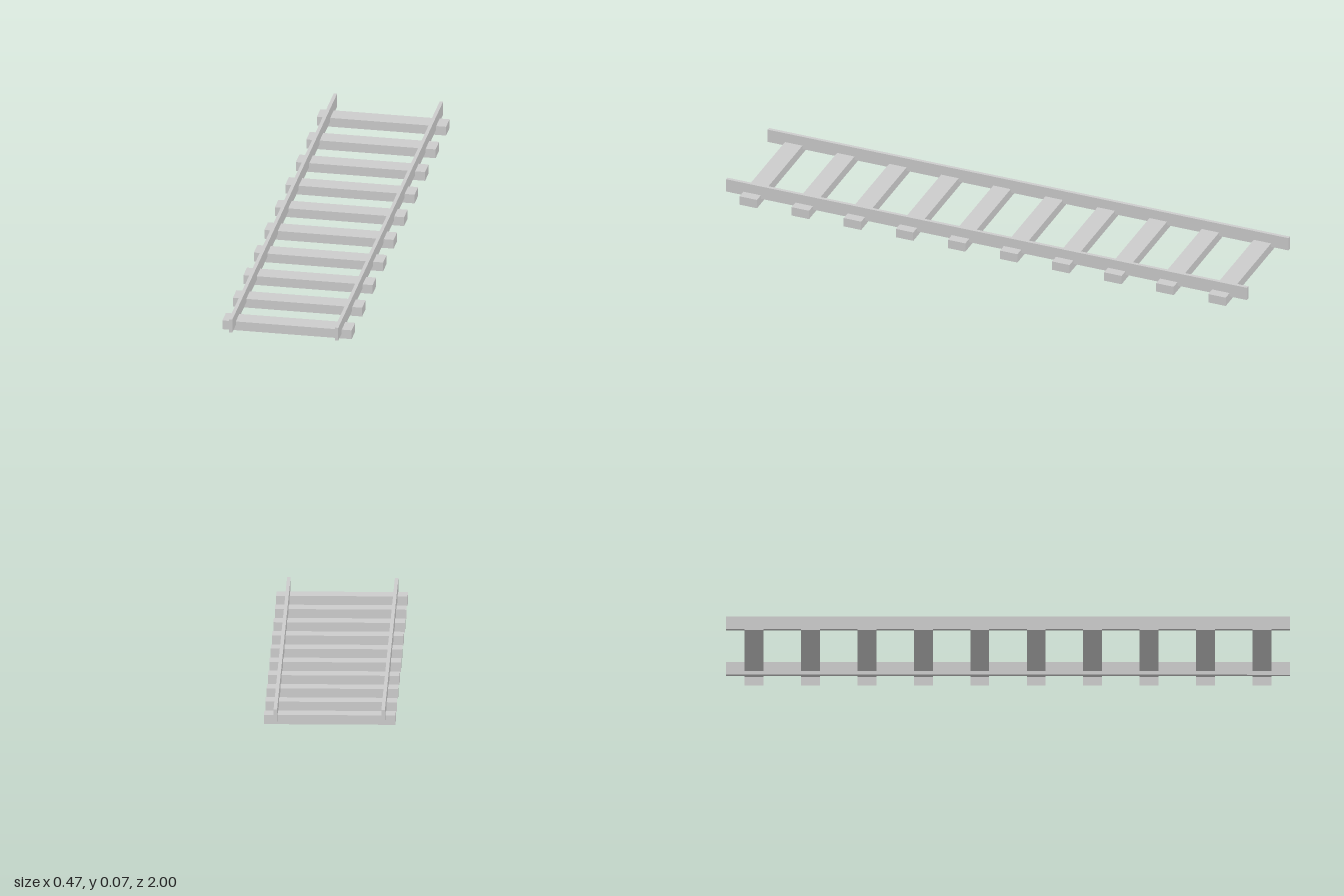
import * as THREE from 'three';

const material = new THREE.MeshStandardMaterial({ color: 0xcccccc, side: THREE.DoubleSide });

// Hollow sleeper: a box without its underside
function sleeperGeometry(width, height, depth) {
  const geometry = new THREE.BoxGeometry(width, height, depth);
  const index = Array.from(geometry.index.array);
  index.splice(18, 6); // drop the -y face
  geometry.setIndex(index);
  geometry.clearGroups();
  return geometry;
}

export function createModel() {
  const track = new THREE.Group();
  track.name = 'railwayTrack';

  // Ten evenly spaced sleepers
  const sleeperGeo = sleeperGeometry(0.466, 0.034, 0.067);
  for (let i = 0; i < 10; i++) {
    const sleeper = new THREE.Mesh(sleeperGeo, material);
    sleeper.name = `sleeper${i + 1}`;
    sleeper.position.set(0, 0.017, -0.9 + i * 0.2);
    track.add(sleeper);
  }

  // Pair of rails, sunk slightly into the sleepers
  const railGeo = new THREE.BoxGeometry(0.0125, 0.05, 2);
  for (const [name, side] of [['leftRail', 1], ['rightRail', -1]]) {
    const rail = new THREE.Mesh(railGeo, material);
    rail.name = name;
    rail.position.set(side * 0.191, 0.045, 0);
    track.add(rail);
  }

  return track;
}
